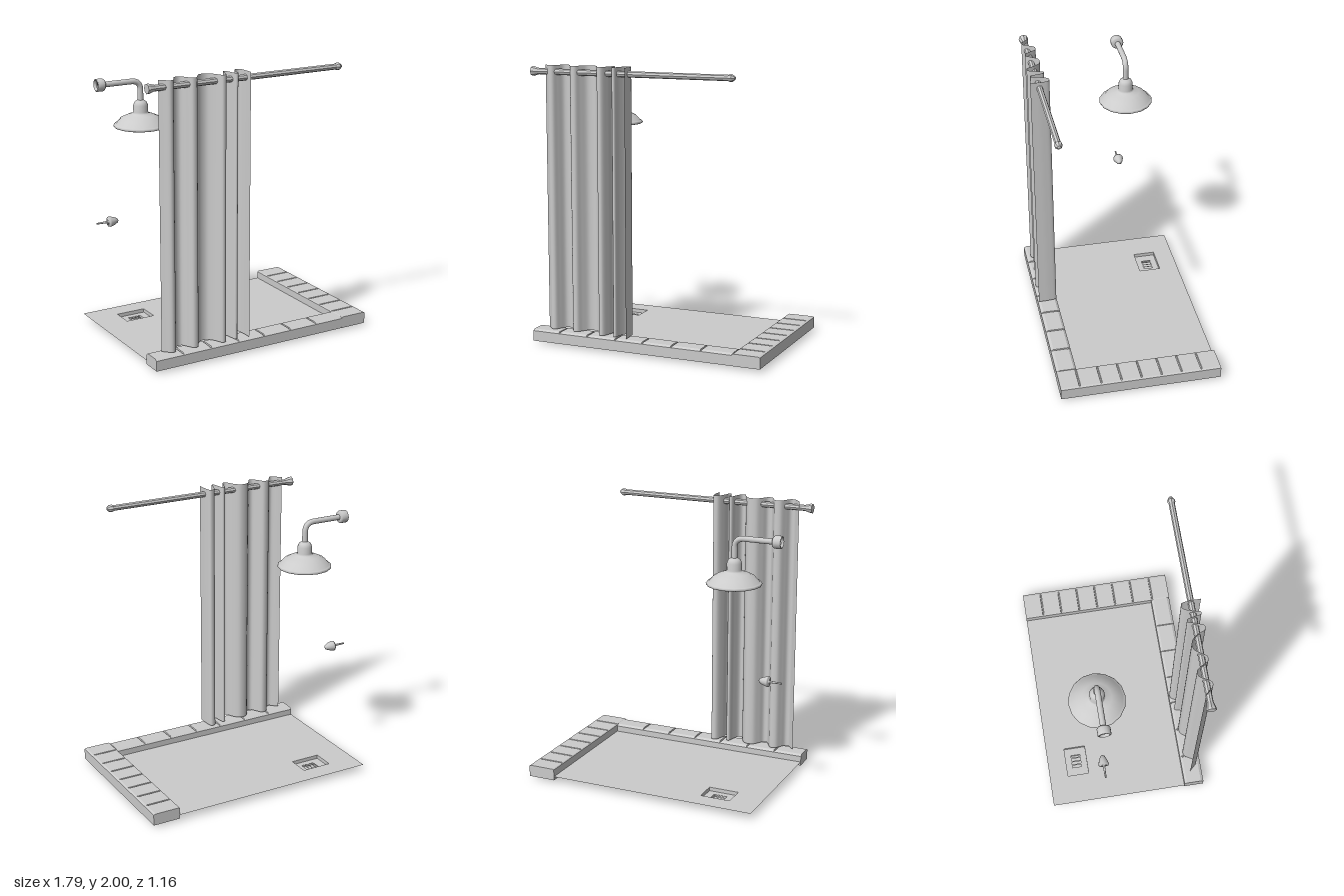
import * as THREE from 'three';

const smooth = new THREE.MeshStandardMaterial({ color: 0xcccccc, side: THREE.DoubleSide });
const flat = new THREE.MeshStandardMaterial({ color: 0xcccccc, side: THREE.DoubleSide, flatShading: true });

const v2 = (pts) => pts.map(([r, y]) => new THREE.Vector2(r, y));

function add(parent, name, geometry, material = smooth) {
  const mesh = new THREE.Mesh(geometry, material);
  mesh.name = name;
  parent.add(mesh);
  return mesh;
}

// Turned part whose axis runs along +x; profile points are [radius, x]
function latheX(profile, sides) {
  return new THREE.LatheGeometry(v2(profile), sides).rotateZ(-Math.PI / 2);
}

// Open-bottomed curb: a section swept along a line; points marked 1 dip at each tile joint
function curbGeometry(section, from, to, joints, place) {
  const dir = Math.sign(to - from);
  const stations = [[from, 0]];
  for (const j of joints) {
    stations.push([j - dir * 0.006, 0], [j - dir * 0.003, 0.009], [j + dir * 0.003, 0.009], [j + dir * 0.006, 0]);
  }
  stations.push([to, 0]);
  const n = section.length;
  const pos = [];
  const index = [];
  for (const [s, dip] of stations) {
    for (const [a, y, dips] of section) pos.push(...place(a, y - dips * dip, s));
  }
  for (let s = 0; s < stations.length - 1; s++) {
    for (let i = 0; i < n - 1; i++) {
      const a = s * n + i;
      index.push(a, a + 1, a + n, a + 1, a + n + 1, a + n);
    }
  }
  const last = (stations.length - 1) * n;
  for (let i = 1; i < n - 1; i++) {
    index.push(0, i + 1, i, last, last + i, last + i + 1);
  }
  const g = new THREE.BufferGeometry();
  g.setAttribute('position', new THREE.Float32BufferAttribute(pos, 3));
  g.setIndex(index);
  const out = g.toNonIndexed();
  out.computeVertexNormals();
  return out;
}

// Horizontal sheet with rectangular holes; rectangles are [x0, x1, z0, z1]
function sheet([x0, x1, z0, z1], holes, y) {
  const corners = (a, b, c, d) => v2([[a, -c], [a, -d], [b, -d], [b, -c]]);
  const shape = new THREE.Shape(corners(x0, x1, z0, z1));
  for (const h of holes) shape.holes.push(new THREE.Path(corners(...h)));
  return new THREE.ShapeGeometry(shape).rotateX(-Math.PI / 2).translate(0, y, 0);
}

// Four upright walls around a rectangle
function walls(parent, name, [x0, x1, z0, z1], y0, y1) {
  const ring = [[x0, z0], [x0, z1], [x1, z1], [x1, z0]];
  ring.forEach(([x, z], i) => {
    const [nx, nz] = ring[(i + 1) % 4];
    const g = new THREE.PlaneGeometry(Math.hypot(nx - x, nz - z), y1 - y0);
    g.rotateY(-Math.atan2(nz - z, nx - x));
    g.translate((x + nx) / 2, (y0 + y1) / 2, (z + nz) / 2);
    add(parent, name, g, flat);
  });
}

function createTray() {
  const tray = new THREE.Group();
  tray.name = 'showerTray';
  const recess = [-0.63, -0.41, -0.44, -0.28];
  const pit = [-0.575, -0.465, -0.4, -0.32];
  add(tray, 'floor', sheet([-0.842, 0.69, -0.58, 0.434], [recess], 0.048), flat);

  // Sunken drain with four slots
  const slots = [];
  for (let i = 0; i < 4; i++) {
    const x = -0.563 + i * 0.027;
    slots.push([x, x + 0.017, -0.395, -0.325]);
  }
  add(tray, 'drainCover', sheet(recess, slots, 0.021), flat);
  walls(tray, 'drainEdge', recess, 0.021, 0.048);
  walls(tray, 'drainPit', pit, 0.001, 0.021);
  add(tray, 'drainBottom', sheet(pit, [], 0.001), flat);

  // Tiled curbs
  const frontSection = [
    [0.432, 0.02, 0], [0.432, 0.092, 0], [0.45, 0.105, 1], [0.557, 0.105, 1], [0.577, 0.094, 0], [0.577, 0.02, 0],
  ];
  const sideSection = [
    [0.69, 0.02, 0], [0.69, 0.1, 0], [0.697, 0.105, 0], [0.703, 0.105, 1], [0.868, 0.105, 1],
    [0.876, 0.105, 0], [0.892, 0.1, 0], [0.892, 0.02, 0],
  ];
  const frontJoints = [-0.63, -0.41, -0.19, 0.02, 0.24, 0.46];
  const sideJoints = [0.44, 0.285, 0.14, -0.005, -0.15, -0.295, -0.44];
  add(tray, 'frontCurb', curbGeometry(frontSection, -0.842, 0.69, frontJoints, (a, y, s) => [s, y, a]), flat);
  add(tray, 'leftCurb', curbGeometry(sideSection, 0.578, -0.58, sideJoints, (a, y, s) => [a, y, s]), flat);
  return tray;
}

function createCurtain() {
  const group = new THREE.Group();
  group.name = 'curtainAndRod';

  // Pleated cloth following a wavy line in plan
  const plan = [
    [-0.755, 0.488], [-0.735, 0.508], [-0.7, 0.543], [-0.675, 0.54], [-0.653, 0.505], [-0.625, 0.463],
    [-0.585, 0.46], [-0.555, 0.505], [-0.53, 0.542], [-0.5, 0.542], [-0.475, 0.505], [-0.44, 0.464],
    [-0.385, 0.462], [-0.345, 0.505], [-0.315, 0.563], [-0.29, 0.562], [-0.265, 0.505], [-0.25, 0.458],
    [-0.232, 0.458], [-0.22, 0.505], [-0.208, 0.555], [-0.192, 0.555], [-0.18, 0.505], [-0.15, 0.441],
    [-0.118, 0.439], [-0.106, 0.49], [-0.104, 0.572],
  ];
  const curve = new THREE.CatmullRomCurve3(plan.map(([x, z]) => new THREE.Vector3(x, 0, z)));
  const steps = 130;
  const cloth = new THREE.PlaneGeometry(1, 1, steps, 1);
  const p = cloth.attributes.position;
  for (let i = 0; i <= steps; i++) {
    const q = curve.getPoint(i / steps);
    p.setXYZ(i, q.x, 2, q.z);
    p.setXYZ(i + steps + 1, q.x, 0.115, q.z);
  }
  cloth.computeVertexNormals();
  add(group, 'curtain', cloth);

  // Rod with a flared wall end and a pointed tip
  const rod = latheX([
    [0, -0.85], [0.034, -0.85], [0.034, -0.835], [0.022, -0.795], [0.021, 0.625],
    [0.027, 0.635], [0.027, 0.65], [0.012, 0.672], [0, 0.676],
  ], 8);
  add(group, 'curtainRod', rod, flat).position.set(0, 1.953, 0.508);
  return group;
}

function createShower() {
  const shower = new THREE.Group();
  shower.name = 'shower';
  shower.position.z = -0.185;

  // Wall mount and bent arm
  const mount = latheX([
    [0.03, -0.86], [0.035, -0.88], [0.045, -0.876], [0.045, -0.83], [0.036, -0.818], [0, -0.818],
  ], 16);
  add(shower, 'wallMount', mount).position.y = 1.855;
  const arm = new THREE.CurvePath();
  const at = (x, y) => new THREE.Vector3(x, y, 0);
  arm.add(new THREE.LineCurve3(at(-0.86, 1.855), at(-0.61, 1.855)));
  arm.add(new THREE.QuadraticBezierCurve3(at(-0.61, 1.855), at(-0.538, 1.855), at(-0.538, 1.79)));
  arm.add(new THREE.LineCurve3(at(-0.538, 1.79), at(-0.538, 1.69)));
  add(shower, 'showerArm', new THREE.TubeGeometry(arm, 48, 0.02, 12));

  // Bell-shaped head, listed from the underside up
  const head = new THREE.LatheGeometry(v2([
    [0, 1.535], [0.17, 1.535], [0.18, 1.527], [0.19, 1.53], [0.194, 1.54], [0.188, 1.548], [0.176, 1.552],
    [0.145, 1.588], [0.1, 1.61], [0.058, 1.622], [0.052, 1.635], [0.052, 1.68], [0.042, 1.705],
    [0.022, 1.718], [0, 1.718],
  ]), 16);
  add(shower, 'showerHead', head).position.x = -0.538;

  // Tap knob on its pin
  const knob = latheX([
    [0, -0.9], [0.006, -0.9], [0.008, -0.808], [0.036, -0.808], [0.038, -0.798],
    [0.028, -0.765], [0.016, -0.74], [0, -0.73],
  ], 12);
  add(shower, 'tapKnob', knob).position.y = 0.868;
  return shower;
}

export function createModel() {
  const model = new THREE.Group();
  model.name = 'showerCubicle';
  model.add(createTray(), createCurtain(), createShower());
  return model;
}
